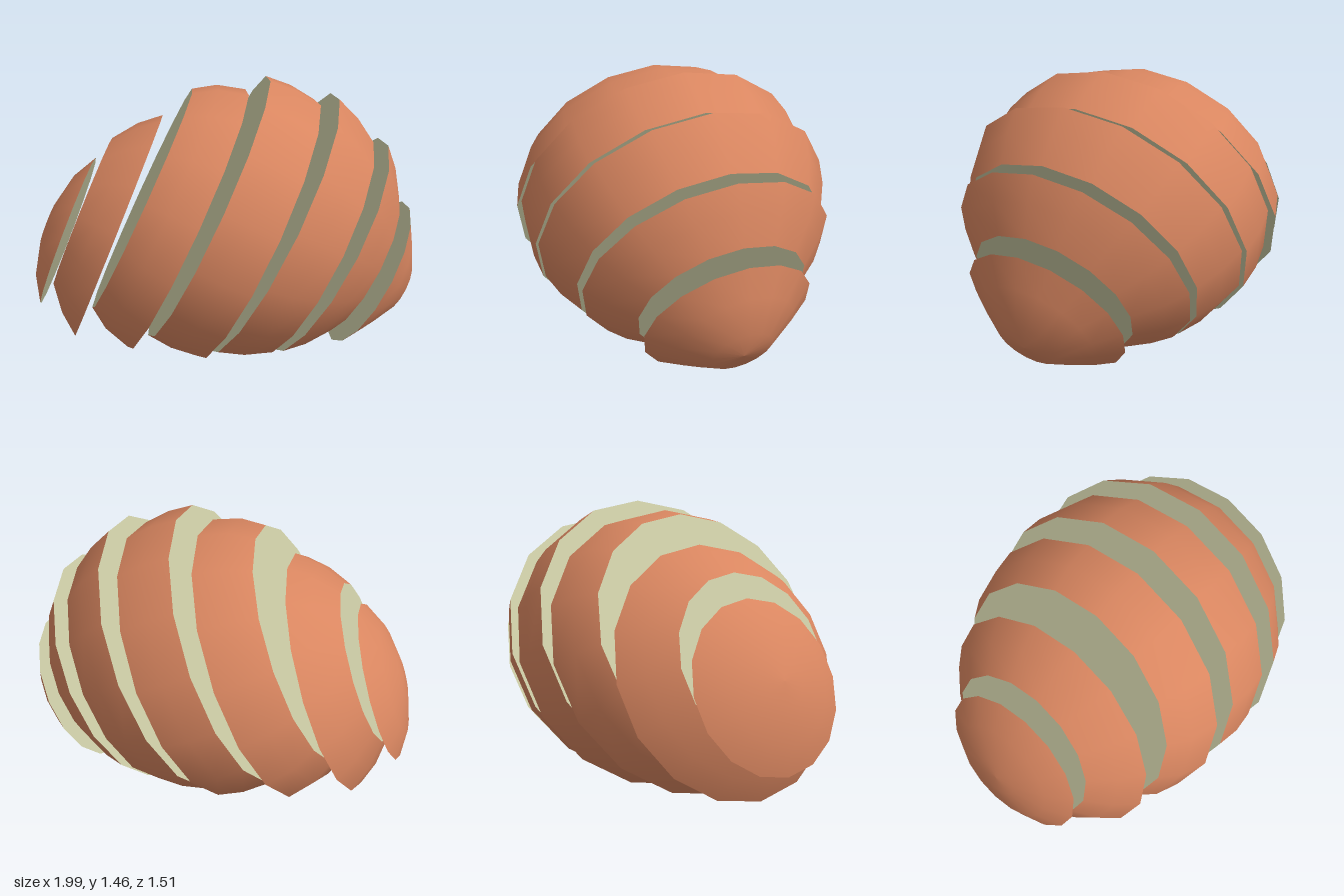
import * as THREE from 'three';

const SIDES = 16;

export function createModel() {
  const skin = new THREE.MeshStandardMaterial({ color: 0xd98660 });
  skin.name = 'terracotta skin';
  const flesh = new THREE.MeshStandardMaterial({ color: 0xcacaa4 });
  flesh.name = 'pale green flesh';

  // Each slice: centre of its reference ring, tilt in degrees, and
  // a profile of [radius, distance along the axis] from right to left
  const slices = [
    { at: [-0.83, 0.635], tilt: 68.7, profile: [[0.413, 0], [0.285, 0.073], [0.11, 0.115], [0, 0.122]] },
    { at: [-0.56, 0.67], tilt: 67.5, profile: [[0.628, 0], [0.54, 0.105], [0.417, 0.2]] },
    { at: [-0.2, 0.72], tilt: 64.5, profile: [[0.743, 0], [0.7, 0.145], [0.626, 0.255]] },
    { at: [0.158, 0.675], tilt: 64.65, profile: [[0.741, 0], [0.755, 0.139], [0.741, 0.277]] },
    { at: [0.463, 0.593], tilt: 63.3, profile: [[0.63, 0], [0.702, 0.13], [0.745, 0.26]] },
    { at: [0.698, 0.498], tilt: 61.8, profile: [[0.417, 0], [0.54, 0.1], [0.624, 0.196]] },
    { at: [0.76, 0.435], tilt: 61.9, profile: [[0, -0.205], [0.15, -0.184], [0.295, -0.088], [0.414, 0]] },
  ];

  const model = new THREE.Group();
  model.name = 'slicedBall';

  // Flat cut face, facing left (+1) or right (-1) along the slice axis
  const cutFace = ([radius, height], facing) => {
    const geometry = new THREE.CircleGeometry(radius, SIDES).rotateX(-facing * Math.PI / 2);
    const mesh = new THREE.Mesh(geometry, flesh);
    mesh.position.y = height;
    mesh.name = facing > 0 ? 'leftCutFace' : 'rightCutFace';
    return mesh;
  };

  slices.forEach(({ at, tilt, profile }, i) => {
    const slice = new THREE.Group();
    slice.name = `slice${i + 1}`;

    // Rounded outer skin
    const points = profile.map(([r, h]) => new THREE.Vector2(r, h));
    const rind = new THREE.Mesh(new THREE.LatheGeometry(points, SIDES), skin);
    rind.name = 'skin';
    slice.add(rind);

    // Cut faces wherever the profile does not close at a pole
    const first = profile[0], last = profile[profile.length - 1];
    if (first[0] > 0) slice.add(cutFace(first, -1));
    if (last[0] > 0) slice.add(cutFace(last, 1));

    slice.position.set(at[0], at[1], 0);
    slice.rotation.z = THREE.MathUtils.degToRad(tilt);
    model.add(slice);
  });

  return model;
}
